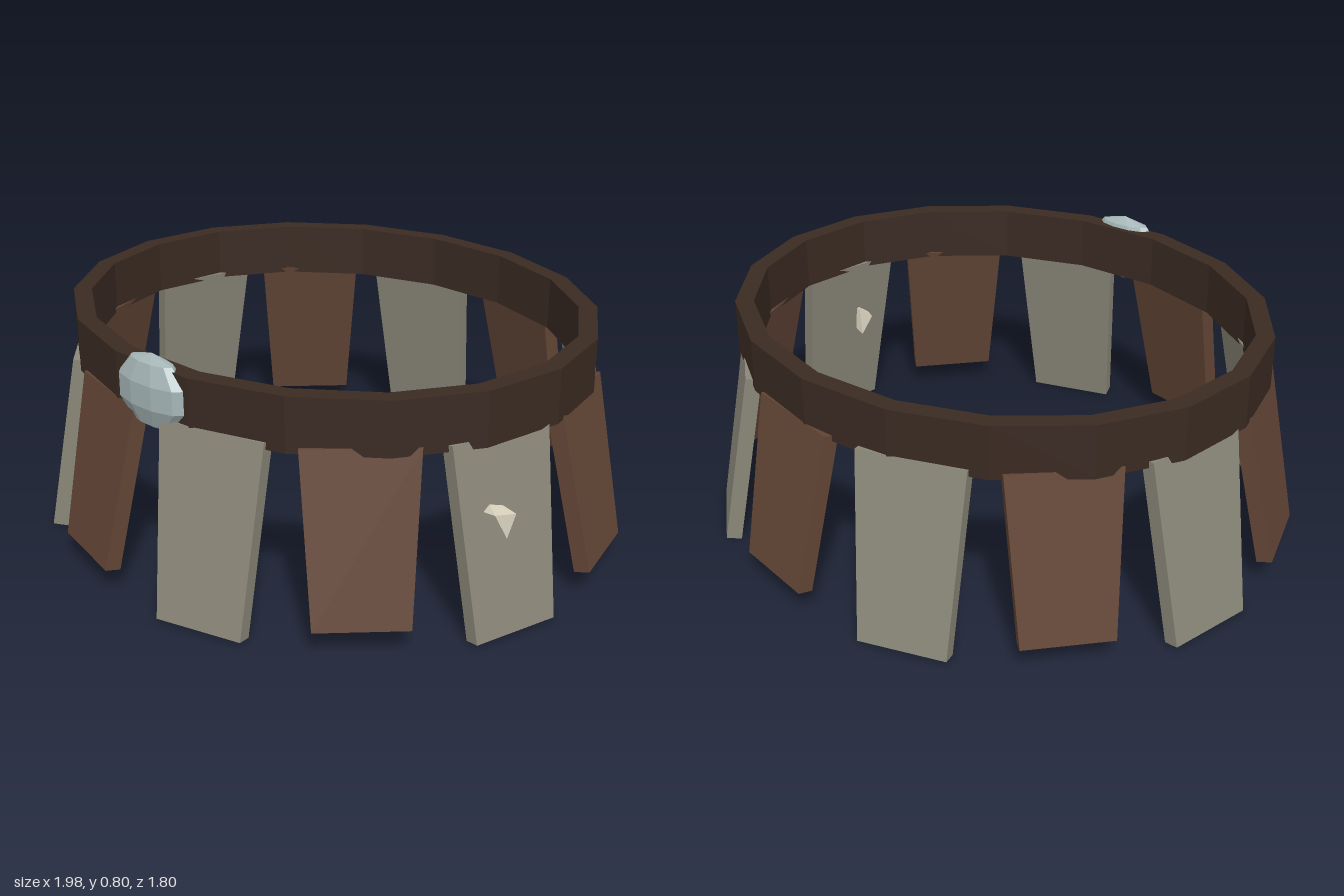
import * as THREE from 'three';
import { ConvexGeometry } from 'three/addons/geometries/ConvexGeometry.js';

const mat = (color) => new THREE.MeshStandardMaterial({ color, flatShading: true });
const DARK = mat(0x3a2a22), LEATHER = mat(0x634636), STONE = mat(0x8c887a);
const GEM = mat(0xa5b5b6), BONE = mat(0xdcd6c2);

function part(name, geometry, material) {
  const mesh = new THREE.Mesh(geometry, material);
  mesh.name = name;
  return mesh;
}

// corners of an 18-sided ellipse
const ellipse = (rx, rz) => Array.from({ length: 18 }, (_, i) => {
  const a = (i * Math.PI) / 9;
  return new THREE.Vector2(rx * Math.cos(a), rz * Math.sin(a));
});

// tapered slab hanging from its top outer edge, flaring outward by `flare` over `drop`
function flapGeometry(drop, flare) {
  const length = Math.hypot(drop, flare), depth = 0.05;
  const g = new THREE.BoxGeometry(1, length, depth).translate(0, -length / 2, -depth / 2);
  const p = g.attributes.position;
  for (let i = 0; i < p.count; i++) {
    p.setX(i, p.getX(i) * (p.getY(i) < -length / 2 ? 0.29 : 0.35));
  }
  g.rotateX(-Math.atan2(flare, drop));
  g.computeVertexNormals();
  return g;
}

export function createModel() {
  const model = new THREE.Group();
  model.name = 'beltSkirt';

  // faceted elliptical waistband
  const outline = new THREE.Shape(ellipse(0.9, 0.79));
  outline.holes.push(new THREE.Path(ellipse(0.84, 0.73).reverse()));
  const band = new THREE.ExtrudeGeometry(outline, { depth: 0.175, bevelEnabled: false });
  band.rotateX(-Math.PI / 2).translate(0, 0.59, 0);
  model.add(part('waistband', band, DARK));

  // twelve flaps, long stone ones alternating with shorter leather ones
  const longFlap = flapGeometry(0.605, 0.11);
  const shortFlap = flapGeometry(0.53, 0.11);
  const flaps = new THREE.Group();
  flaps.name = 'flaps';
  for (let k = 0; k < 12; k++) {
    const a = ((15 + 30 * k) * Math.PI) / 180;
    const isLong = k % 2 === 0;
    const flap = part(isLong ? 'longFlap' : 'shortFlap', isLong ? longFlap : shortFlap, isLong ? STONE : LEATHER);
    flap.position.set(0.875 * Math.cos(a), 0.615, 0.785 * Math.sin(a));
    flap.rotation.y = Math.PI / 2 - a;
    flaps.add(flap);
  }
  model.add(flaps);

  // faceted oval buckle stone at the front
  const gem = new THREE.SphereGeometry(1, 10, 5);
  gem.scale(0.15, 0.12, 0.055).translate(0, 0.68, 0.772);
  model.add(part('buckleStone', gem, GEM));

  // bone splinter driven through one flap on the left side
  const splinter = new ConvexGeometry([
    [0.915, 0.415, 0.315], [0.925, 0.39, 0.225], [0.925, 0.325, 0.265],
    [0.785, 0.38, 0.27], [0.81, 0.31, 0.24], [0.81, 0.42, 0.23],
  ].map((c) => new THREE.Vector3(...c)));
  model.add(part('boneSplinter', splinter, BONE));

  return model;
}
